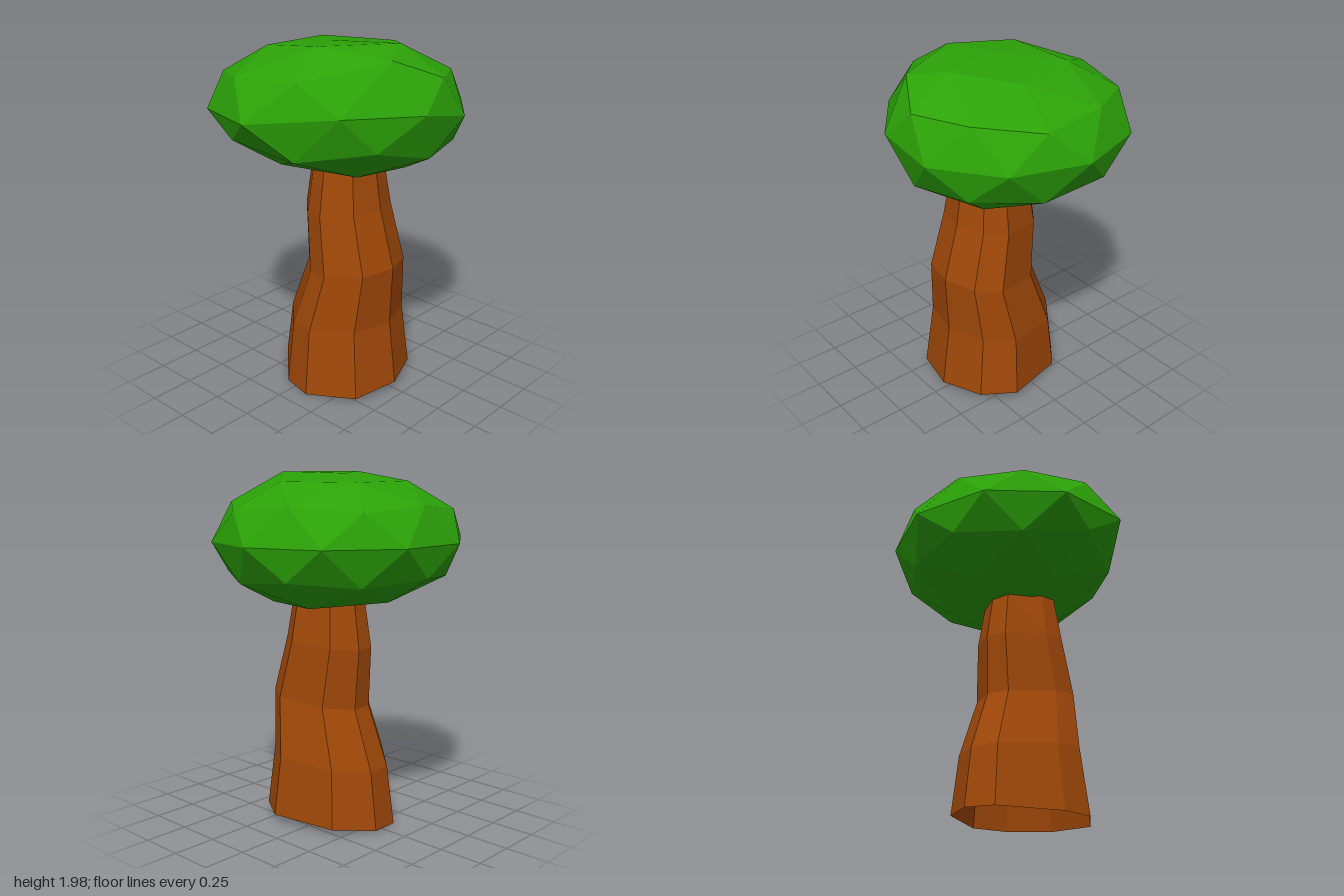
import * as THREE from 'three';

// Trunk sections from the ground up: centre height, centre x, centre z, radius x, radius z, tilt along x
const SECTIONS = [
  [0.03, 0.045, 0.02, 0.395, 0.392, 0.045],
  [0.385, 0.042, 0.015, 0.347, 0.35, 0.11],
  [0.72, 0.115, 0.012, 0.29, 0.293, 0.13],
  [1.05, 0.058, 0.012, 0.254, 0.258, 0.11],
  [1.3, 0.06, 0.012, 0.213, 0.217, 0.05],
  [1.4, 0.06, 0.012, 0.2, 0.202, 0],
];

// Uneven trunk outline: angle from +x towards +z in degrees, relative radius
const OUTLINE = [
  [-3, 1], [37, 1.05], [80, 0.98], [110, 0.9], [168, 0.99],
  [193, 1.03], [230, 0.94], [288, 1.01], [319, 1.01],
];

// Soft pulls on the crown: centre, offset, squared reach
const PULLS = [
  [[0.48, 1.83, 0.35], [0.01, 0.125, -0.21], 0.18],
  [[-0.19, 1.45, 0.595], [0, 0.05, -0.01], 0.05],
  [[-0.1, 1.65, 0.6], [0, 0, 0.04], 0.12],
  [[0.1, 1.28, -0.3], [0, -0.02, 0], 0.12],
  [[0.4, 1.35, -0.1], [0, -0.022, 0], 0.12],
  [[-0.1, 1.28, 0.2], [0, 0.03, -0.02], 0.12],
  [[0, 2.0, 0], [0.02, -0.04, 0.1], 0.12],
];

function makeTrunk() {
  const rows = SECTIONS.length - 1, sides = OUTLINE.length;
  const geo = new THREE.CylinderGeometry(1, 1, 1, sides, rows, true);
  const p = geo.attributes.position;
  for (let i = 0; i < p.count; i++) {
    const [y, cx, cz, rx, rz, tilt] = SECTIONS[Math.floor(i / (sides + 1))];
    // the cylinder runs from +z towards +x, so walk the outline backwards
    const [angle, radius] = OUTLINE[(2 * sides - (i % (sides + 1))) % sides];
    const a = THREE.MathUtils.degToRad(angle);
    const x = radius * Math.cos(a), z = radius * Math.sin(a);
    // the ground edge also rises a little towards the back
    const lift = y < 0.1 ? -0.022 * z : 0;
    p.setXYZ(i, cx + rx * x, Math.max(0, y + tilt * rx * x + lift), cz + rz * z);
  }
  p.needsUpdate = true;
  geo.computeVertexNormals();
  return geo.translate(0, 0, 0);
}

function makeCrown() {
  // faceted ball with one corner pointing straight up
  const geo = new THREE.IcosahedronGeometry(1, 1);
  geo.rotateZ(-Math.atan(2 / (1 + Math.sqrt(5))));
  geo.scale(0.7, 0.385, 0.7);
  geo.translate(0, 1.62, 0);
  const p = geo.attributes.position;
  const start = new THREE.Vector3(), v = new THREE.Vector3();
  for (let i = 0; i < p.count; i++) {
    start.fromBufferAttribute(p, i);
    v.copy(start);
    for (const [centre, offset, reach] of PULLS) {
      const d2 = start.distanceToSquared(new THREE.Vector3(...centre));
      v.addScaledVector(new THREE.Vector3(...offset), Math.exp(-d2 / reach));
    }
    p.setXYZ(i, v.x, v.y, v.z);
  }
  geo.computeVertexNormals();
  return geo;
}

export function createModel() {
  const group = new THREE.Group();
  group.name = 'tree';

  // hollow trunk, open at the ground
  const bark = new THREE.MeshStandardMaterial({ color: 0xa04808, flatShading: true, side: THREE.DoubleSide });
  const trunk = new THREE.Mesh(makeTrunk(), bark);
  trunk.name = 'trunk';

  // squashed leafy crown
  const leaf = new THREE.MeshStandardMaterial({ color: 0x2ca208, flatShading: true });
  const crown = new THREE.Mesh(makeCrown(), leaf);
  crown.name = 'crown';

  group.add(trunk, crown);
  return group;
}
